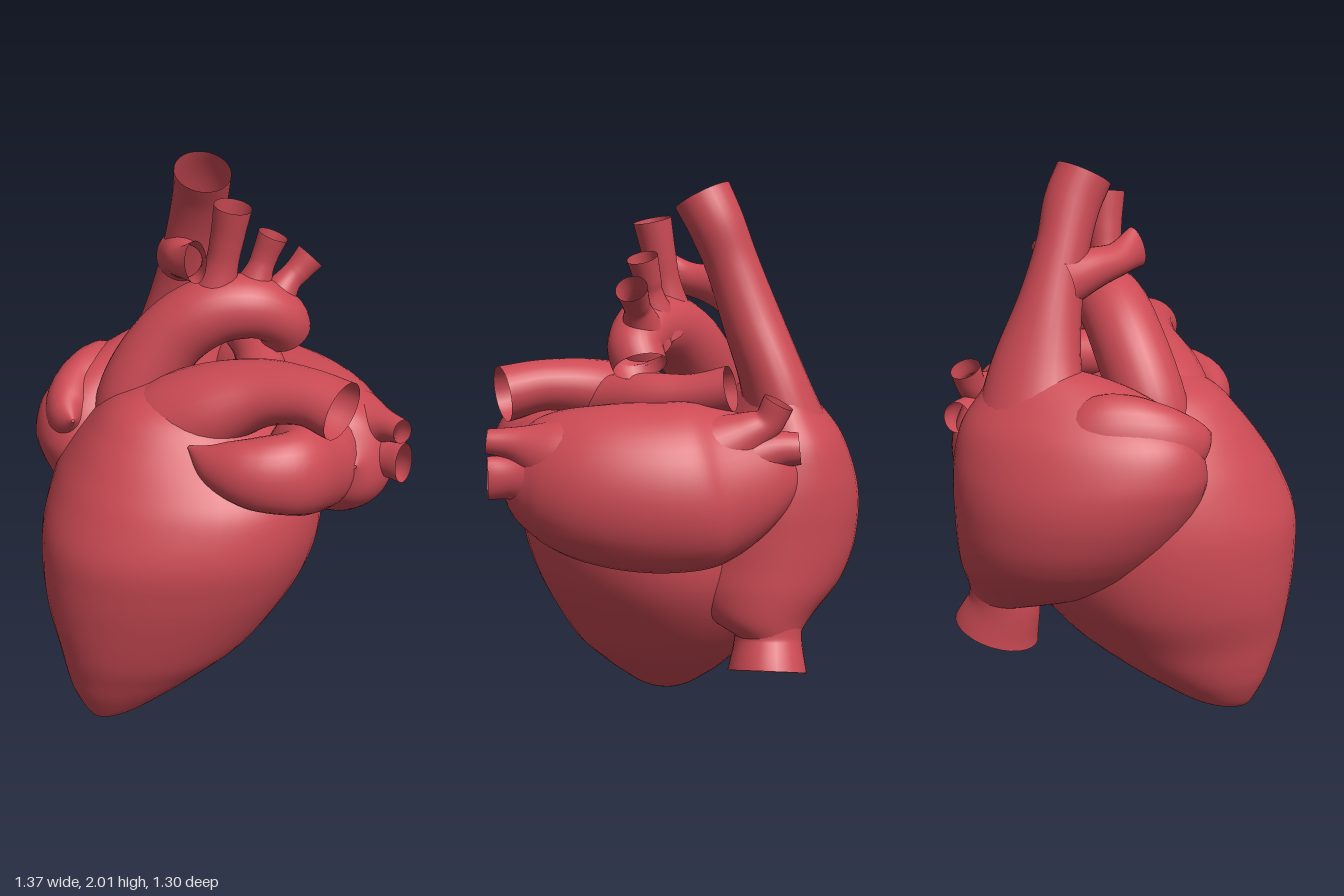
import * as THREE from 'three';

const muscle = new THREE.MeshStandardMaterial({ color: 0xcc4a54, side: THREE.DoubleSide });
muscle.name = 'muscle red';

// Smooth closed-loop skin over rings; point(u, angle) returns a Vector3
function skin(name, rows, cols, point) {
  const pos = [], idx = [];
  for (let i = 0; i <= rows; i++) {
    for (let j = 0; j < cols; j++) pos.push(...point(i / rows, (j / cols) * Math.PI * 2).toArray());
  }
  for (let i = 0; i < rows; i++) {
    for (let j = 0; j < cols; j++) {
      const a = i * cols + j, b = i * cols + (j + 1) % cols;
      idx.push(a, b, a + cols, b, b + cols, a + cols);
    }
  }
  const g = new THREE.BufferGeometry();
  g.setAttribute('position', new THREE.Float32BufferAttribute(pos, 3));
  g.setIndex(idx);
  g.computeVertexNormals();
  const mesh = new THREE.Mesh(g, muscle);
  mesh.name = name;
  return mesh;
}

const spline = (pts) => new THREE.CatmullRomCurve3(pts.map((p) => new THREE.Vector3(...p)), false, 'catmullrom', 0.5);

// Chamber from level slices: [y, xMin, xMax, zMin, zMax]; pinch flattens the diagonals
function chamber(name, slices, pinch) {
  const a = spline(slices.map((s) => [s[0], s[1], s[2]]));
  const b = spline(slices.map((s) => [s[3], s[4], 0]));
  return skin(name, slices.length * 6, 48, (u, t) => {
    const p = a.getPoint(u), q = b.getPoint(u);
    const k = (1 - pinch * Math.sin(2 * t) ** 2) / 2;
    return new THREE.Vector3(
      (p.y + p.z) / 2 + (p.z - p.y) * k * Math.cos(t),
      Math.max(0, p.x),
      (q.x + q.y) / 2 - (q.y - q.x) * k * Math.sin(t));
  });
}

// Vessel or lobe along a path: [x, y, z, radius, optional sideways radius]
function vessel(name, pts, up = [0, 1, 0], cols = 28) {
  const path = spline(pts), radii = spline(pts.map((p) => [p[3], p[4] ?? p[3], 0]));
  const rows = pts.length * 7, frames = [];
  let n = new THREE.Vector3(...up);
  for (let i = 0; i <= rows; i++) {
    const t = path.getTangent(i / rows);
    n = n.clone().addScaledVector(t, -n.dot(t)).normalize();
    frames.push({ c: path.getPoint(i / rows), n, b: t.clone().cross(n), r: radii.getPoint(i / rows) });
  }
  return skin(name, rows, cols, (u, a) => {
    const f = frames[Math.round(u * rows)];
    return f.c.clone().addScaledVector(f.n, f.r.x * Math.cos(a)).addScaledVector(f.b, f.r.y * Math.sin(a));
  });
}

export function createModel() {
  const heart = new THREE.Group();
  heart.name = 'heart';
  const X = [1, 0, 0];

  heart.add(
    // Main muscular body, pointed at the front bottom
    chamber('ventricles', [
      [0, -0.03, -0.03, 0.48, 0.48], [0.008, -0.08, 0.01, 0.42, 0.51],
      [0.04, -0.15, 0.07, 0.28, 0.535], [0.12, -0.23, 0.16, 0.11, 0.575],
      [0.2, -0.29, 0.24, -0.04, 0.6], [0.3, -0.35, 0.33, -0.2, 0.625],
      [0.45, -0.44, 0.42, -0.33, 0.65], [0.6, -0.49, 0.49, -0.41, 0.66],
      [0.75, -0.505, 0.53, -0.43, 0.65], [0.9, -0.5, 0.52, -0.42, 0.585],
      [1.0, -0.46, 0.46, -0.4, 0.525], [1.1, -0.37, 0.35, -0.33, 0.455],
      [1.2, -0.24, 0.22, -0.14, 0.36], [1.27, -0.08, 0.08, 0.04, 0.2],
    ], 0.04),

    // Right side chamber with its front flap
    chamber('rightAtrium', [
      [0.42, -0.4, -0.2, -0.46, -0.24], [0.5, -0.49, -0.07, -0.48, 0.04],
      [0.6, -0.595, -0.01, -0.49, 0.2], [0.7, -0.65, 0, -0.49, 0.29],
      [0.8, -0.675, 0, -0.49, 0.36], [0.9, -0.68, -0.02, -0.49, 0.41],
      [1.0, -0.66, -0.08, -0.48, 0.43], [1.12, -0.61, -0.15, -0.45, 0.39],
      [1.22, -0.53, -0.2, -0.39, 0.26], [1.29, -0.46, -0.25, -0.34, 0.08],
      [1.34, -0.4, -0.34, -0.22, -0.14],
    ], 0),
    vessel('rightAuricle', [
      [-0.47, 1.05, -0.08, 0.1], [-0.46, 1.07, 0.06, 0.19, 0.12], [-0.43, 1.08, 0.18, 0.195, 0.12],
      [-0.39, 1.09, 0.29, 0.155, 0.1], [-0.32, 1.1, 0.37, 0.09, 0.07], [-0.24, 1.11, 0.41, 0.005],
    ]),

    // Rear left chamber with its front flap
    vessel('leftAtrium', [
      [-0.36, 1.08, -0.42, 0.005], [-0.31, 1.06, -0.42, 0.15, 0.1], [-0.1, 1.0, -0.395, 0.275, 0.215],
      [0.07, 0.98, -0.39, 0.295, 0.25], [0.28, 0.99, -0.35, 0.28, 0.24], [0.45, 1.01, -0.26, 0.23, 0.2],
      [0.55, 1.02, -0.2, 0.15, 0.13], [0.6, 1.03, -0.17, 0.005],
    ], [0, 1, 0.35], 40),
    vessel('leftAuricle', [
      [0.36, 1.01, -0.28, 0.22, 0.18], [0.46, 1.03, -0.08, 0.185, 0.16], [0.53, 1.06, 0.07, 0.15, 0.11],
      [0.45, 1.07, 0.19, 0.125, 0.1], [0.34, 1.09, 0.26, 0.08, 0.06], [0.24, 1.13, 0.29, 0.005],
    ]),

    // Great arteries
    vessel('aorta', [
      [-0.18, 0.98, 0.2, 0.14], [-0.175, 1.18, 0.165, 0.135], [-0.105, 1.37, 0.07, 0.13],
      [0.0, 1.48, -0.03, 0.125], [0.1, 1.5, -0.14, 0.115], [0.155, 1.45, -0.23, 0.1],
      [0.145, 1.385, -0.275, 0.095],
    ], X),
    vessel('pulmonaryTrunk', [
      [-0.06, 0.95, 0.25, 0.18], [0.02, 1.09, 0.17, 0.185], [0.14, 1.19, 0.09, 0.155, 0.18],
      [0.3, 1.265, 0.0, 0.115, 0.14], [0.47, 1.29, -0.05, 0.095, 0.11], [0.61, 1.27, -0.08, 0.1, 0.115],
    ]),
    vessel('rightPulmonaryArtery', [
      [0.28, 1.23, -0.03, 0.09], [0.12, 1.26, -0.18, 0.09], [-0.03, 1.28, -0.28, 0.075], [-0.16, 1.31, -0.34, 0.08],
    ]),

    // Great veins
    vessel('upperVenaCava', [
      [-0.4, 1.08, -0.18, 0.17, 0.23], [-0.345, 1.3, -0.19, 0.12, 0.17], [-0.265, 1.53, -0.165, 0.105, 0.115],
      [-0.2, 1.72, -0.14, 0.095], [-0.145, 1.86, -0.125, 0.1], [-0.1, 1.96, -0.095, 0.105, 0.1],
    ], X),
    vessel('upperVenaCavaBranch', [
      [-0.24, 1.61, -0.13, 0.1], [-0.16, 1.64, -0.05, 0.075], [-0.07, 1.66, 0.015, 0.06], [0.025, 1.69, 0.055, 0.075, 0.04],
    ]),
    vessel('lowerVenaCava', [
      [-0.3, 0.62, -0.32, 0.12], [-0.3, 0.52, -0.34, 0.125], [-0.3, 0.41, -0.345, 0.12, 0.135], [-0.29, 0.3, -0.38, 0.14, 0.16],
    ], X),
  );

  // Three branches rising from the aortic arch
  [
    [[0.0, 1.48, -0.04, 0.1], [0.03, 1.64, -0.06, 0.062], [0.05, 1.75, -0.07, 0.06], [0.075, 1.875, -0.075, 0.068]],
    [[0.07, 1.48, -0.14, 0.1], [0.1, 1.62, -0.18, 0.052], [0.11, 1.68, -0.2, 0.048], [0.13, 1.755, -0.22, 0.055]],
    [[0.12, 1.46, -0.19, 0.1], [0.15, 1.57, -0.27, 0.052], [0.165, 1.61, -0.31, 0.048], [0.185, 1.66, -0.355, 0.056]],
  ].forEach((p, i) => heart.add(vessel('archBranch' + (i + 1), p, X)));

  // Pulmonary veins, two on each side of the left atrium
  [
    [[0.34, 1.06, -0.35, 0.17], [0.48, 1.1, -0.34, 0.12], [0.59, 1.135, -0.33, 0.06], [0.68, 1.145, -0.32, 0.042]],
    [[0.34, 1.0, -0.34, 0.2], [0.48, 1.01, -0.335, 0.14], [0.59, 1.02, -0.335, 0.08, 0.07], [0.68, 1.02, -0.335, 0.075, 0.045]],
    [[-0.08, 1.1, -0.42, 0.14], [-0.2, 1.17, -0.45, 0.08], [-0.265, 1.21, -0.465, 0.055], [-0.3, 1.28, -0.475, 0.055]],
    [[-0.12, 1.05, -0.42, 0.13], [-0.28, 1.11, -0.46, 0.07], [-0.375, 1.12, -0.48, 0.055]],
  ].forEach((p, i) => heart.add(vessel('pulmonaryVein' + (i + 1), p)));

  return heart;
}
